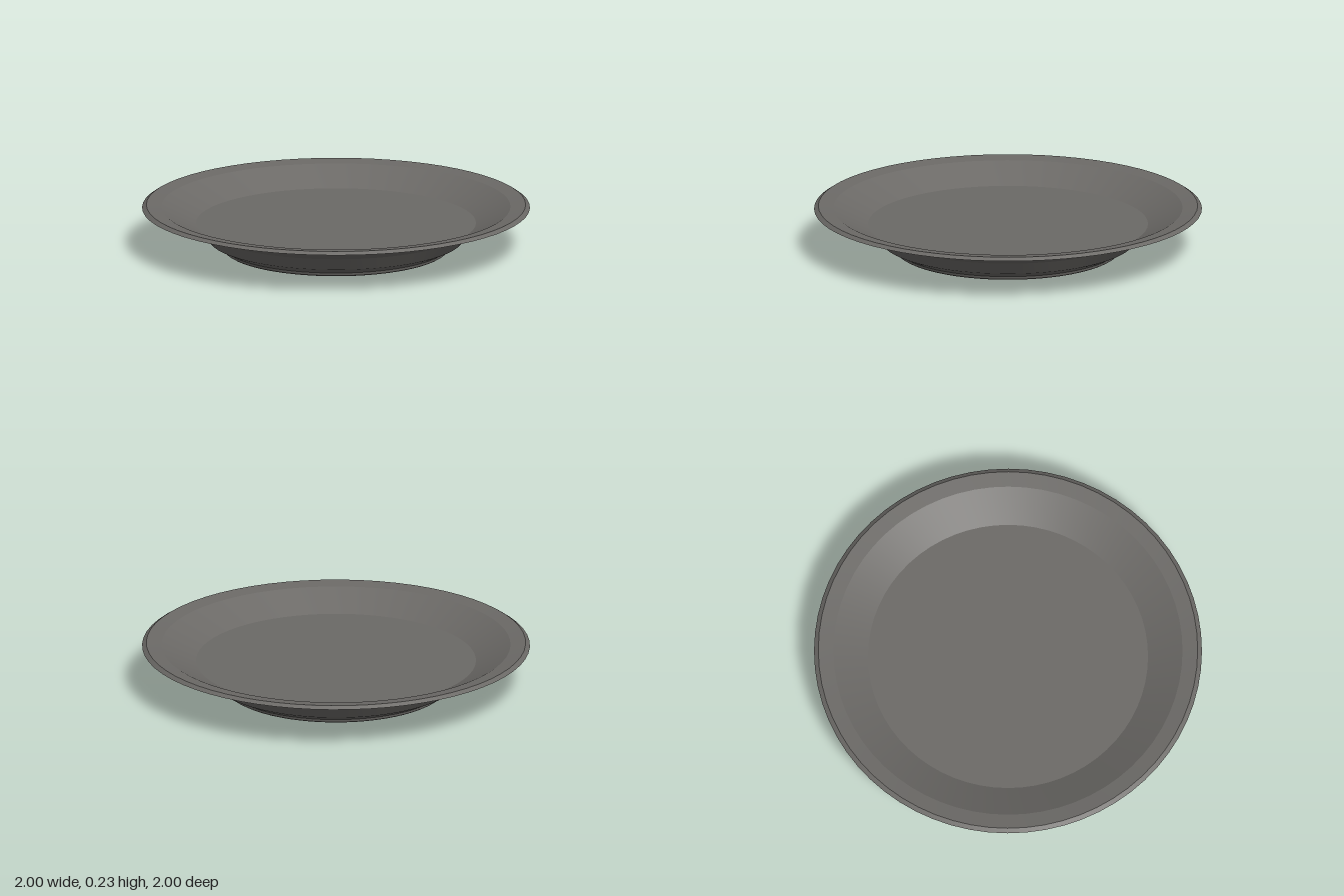
import * as THREE from 'three';
import { toCreasedNormals } from 'three/addons/utils/BufferGeometryUtils.js';

const SEGMENTS = 64;

export function createModel() {
  const plate = new THREE.Group();
  plate.name = 'plate';
  const glaze = new THREE.MeshStandardMaterial({ color: 0x6b6966 });
  glaze.name = 'warm grey glaze';

  // Turned part from [radius, height] points, listed from underside round to top
  function turned(name, profile) {
    const points = profile.map(([r, y]) => new THREE.Vector2(r, y));
    const geometry = toCreasedNormals(new THREE.LatheGeometry(points, SEGMENTS), 0.14);
    const mesh = new THREE.Mesh(geometry, glaze);
    mesh.name = name;
    plate.add(mesh);
  }

  // Recessed base and the foot ring it stands on
  turned('foot', [
    [0, 0.017], [0.55, 0.017], [0.572, 0], [0.58, 0.005], [0.585, 0.02], [0.605, 0.032],
  ]);
  // Flaring underside
  turned('underside', [
    [0.605, 0.032], [0.655, 0.055], [0.71, 0.125], [0.85, 0.195], [1, 0.22],
  ]);
  // Bevelled edge and flat rim
  turned('rim', [[1, 0.22], [0.978, 0.235], [0.9, 0.225]]);
  // Sloping wall and flat eating surface
  turned('well', [[0.9, 0.225], [0.722, 0.138], [0, 0.138]]);

  return plate;
}
